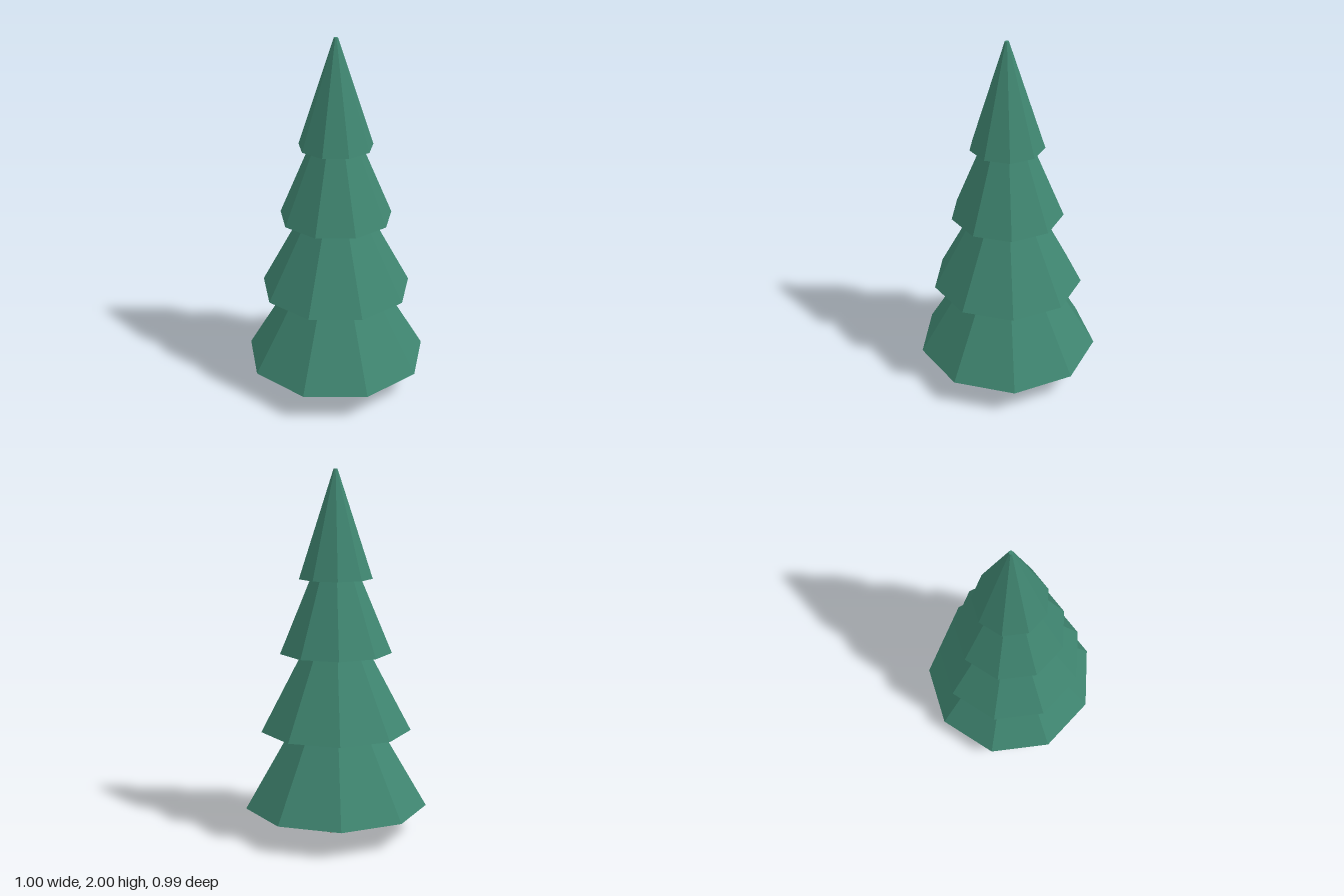
import * as THREE from 'three';

const CENTRE_Z = 0.015;

// Faceted tapered cylinder standing between two heights
function frustum(name, rTop, rBottom, y0, y1, sides, start, material) {
  const geometry = new THREE.CylinderGeometry(rTop, rBottom, y1 - y0, sides, 1, false, start);
  const mesh = new THREE.Mesh(geometry, material);
  mesh.name = name;
  mesh.position.set(0, (y0 + y1) / 2, CENTRE_Z);
  return mesh;
}

export function createModel() {
  const tree = new THREE.Group();
  tree.name = 'pineTree';
  const needles = new THREE.MeshStandardMaterial({ color: 0x3f8570, flatShading: true });
  const bark = new THREE.MeshStandardMaterial({ color: 0x7a563a, flatShading: true });

  // Ten-sided trunk
  tree.add(frustum('trunk', 0.094, 0.094, 0, 0.16, 10, Math.PI / 2, bark));

  // Nine-sided foliage tiers, a corner towards the back: [bottom y, top y, bottom radius, top radius]
  const tiers = [
    [0.15, 0.58, 0.508, 0.254],
    [0.58, 1.01, 0.418, 0.188],
    [1.01, 1.415, 0.31, 0.14],
    [1.415, 2, 0.203, 0.011],
  ];
  tiers.forEach(([y0, y1, rBottom, rTop], i) => {
    tree.add(frustum(`foliageTier${i + 1}`, rTop, rBottom, y0, y1, 9, Math.PI, needles));
  });
  return tree;
}
